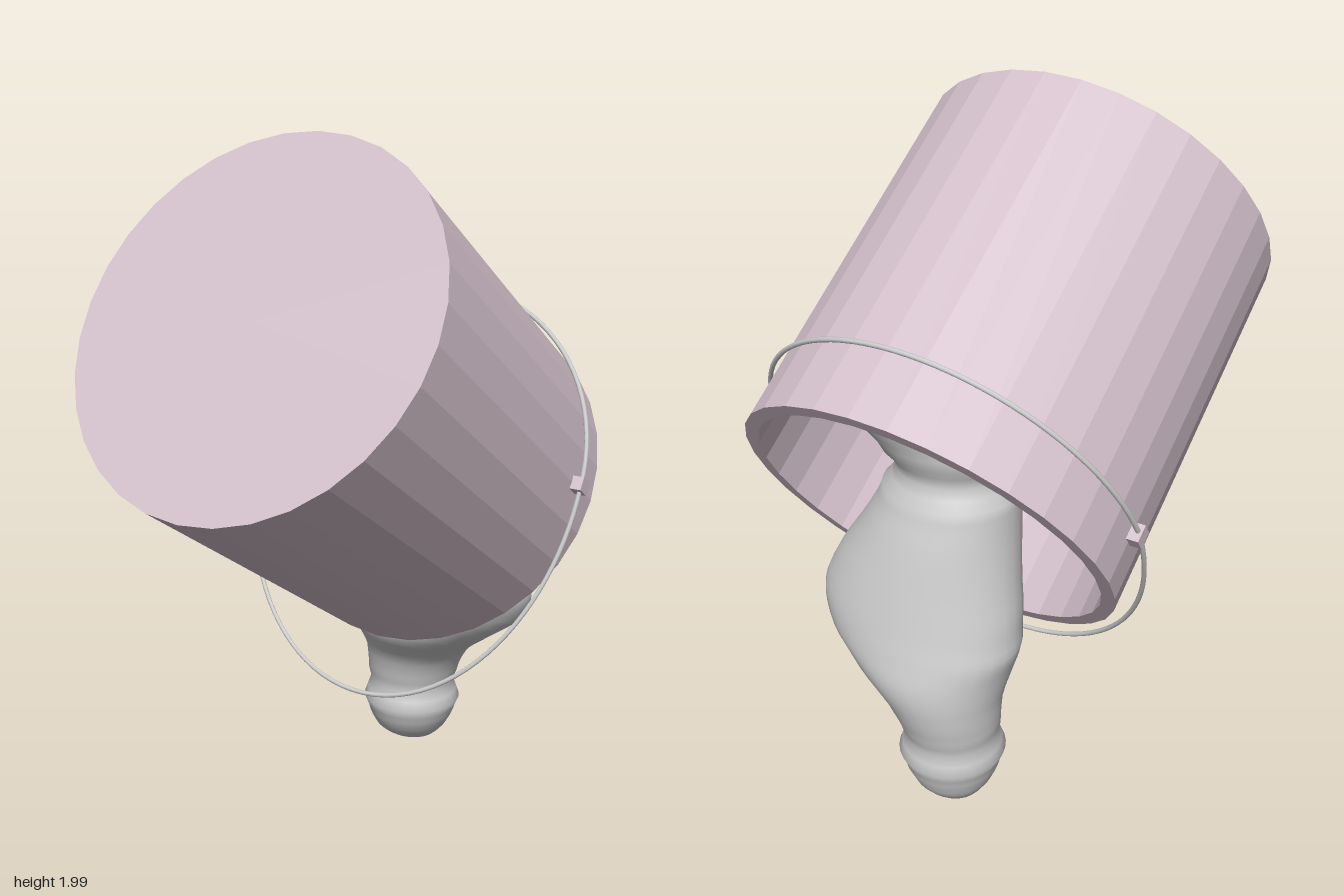
import * as THREE from 'three';
import { mergeVertices } from 'three/addons/utils/BufferGeometryUtils.js';

const pink = new THREE.MeshStandardMaterial({ color: 0xd3c0cb, flatShading: true });
const grey = new THREE.MeshStandardMaterial({ color: 0xcccccc });

function add(parent, name, geometry, material) {
  const mesh = new THREE.Mesh(geometry, material);
  mesh.name = name;
  parent.add(mesh);
  return mesh;
}

// Rounded mass lofted through elliptical sections: [y, centreX, centreZ, radiusX, radiusZ]
function loft(sections, around, rows) {
  const centres = new THREE.CatmullRomCurve3(sections.map(s => new THREE.Vector3(s[1], s[0], s[2])));
  const radii = new THREE.CatmullRomCurve3(sections.map(s => new THREE.Vector3(s[3], 0, s[4])));
  const g = new THREE.SphereGeometry(1, around, rows);
  const { position, uv } = g.attributes;
  for (let i = 0; i < position.count; i++) {
    const t = THREE.MathUtils.clamp(1 - Math.floor(i / (around + 1)) / rows, 0, 1);
    const a = (i % (around + 1)) / around * Math.PI * 2;
    const c = centres.getPoint(t), r = radii.getPoint(t);
    position.setXYZ(i, c.x - Math.cos(a) * r.x, c.y, c.z + Math.sin(a) * r.z);
  }
  g.deleteAttribute('uv');
  g.deleteAttribute('normal');
  const merged = mergeVertices(g, 1e-4);
  merged.computeVertexNormals();
  return merged;
}

export function createModel() {
  const model = new THREE.Group();
  const tilt = 0.977;

  // Hollow bucket tipped forward, its mouth facing down and back
  const profile = [[0, 1.07], [0.51, 1.07], [0.51, 0], [0.55, 0], [0.55, 1.11], [0, 1.11]]
    .map(p => new THREE.Vector2(...p));
  const bucket = add(model, 'bucket', new THREE.LatheGeometry(profile, 32), pink);
  bucket.position.set(0, 0.925, -0.46);
  bucket.rotation.x = tilt;

  // Wire loop: a snug half over the bucket and a longer half hanging below
  const points = [];
  for (let i = 0; i < 48; i++) {
    const a = i / 48 * Math.PI * 2, s = Math.sin(a);
    const y = s > 0 ? 0.5 * s : 0.67 * s;
    const z = s > 0 ? -0.275 * s : -0.305 * s;
    points.push(new THREE.Vector3(0.57 * Math.cos(a), 1 + y, -0.335 + z));
  }
  const wire = new THREE.CatmullRomCurve3(points, true);
  add(model, 'wireHandle', new THREE.TubeGeometry(wire, 96, 0.007, 8, true), grey);

  // Lugs holding the wire on both sides
  for (const side of [-1, 1]) {
    const lug = add(model, side > 0 ? 'leftLug' : 'rightLug', new THREE.BoxGeometry(0.035, 0.05, 0.04), pink);
    lug.position.set(side * 0.565, 1.005, -0.34);
    lug.rotation.x = tilt;
  }

  // Lumpy mass filling part of the bucket and running out to the ground
  const sections = [
    [0.01, -0.05, -0.44, 0, 0],
    [0.015, -0.05, -0.44, 0.07, 0.06],
    [0.06, -0.045, -0.43, 0.115, 0.115],
    [0.13, -0.04, -0.425, 0.145, 0.145],
    [0.25, -0.04, -0.43, 0.145, 0.145],
    [0.35, -0.02, -0.43, 0.17, 0.17],
    [0.45, 0.03, -0.4, 0.24, 0.215],
    [0.53, 0.07, -0.385, 0.3, 0.215],
    [0.61, 0.09, -0.365, 0.31, 0.215],
    [0.72, 0.08, -0.34, 0.28, 0.21],
    [0.85, 0.05, -0.31, 0.23, 0.2],
    [0.96, 0.03, -0.29, 0.2, 0.18],
    [1.08, 0.04, -0.28, 0.2, 0.18],
    [1.2, 0.11, -0.28, 0.25, 0.22],
    [1.32, 0.16, -0.28, 0.29, 0.25],
    [1.43, 0.16, -0.24, 0.26, 0.22],
    [1.53, 0.15, -0.2, 0.17, 0.15],
    [1.57, 0.15, -0.19, 0, 0],
  ];
  add(model, 'pouringMass', loft(sections, 32, 68), grey);

  return model;
}
